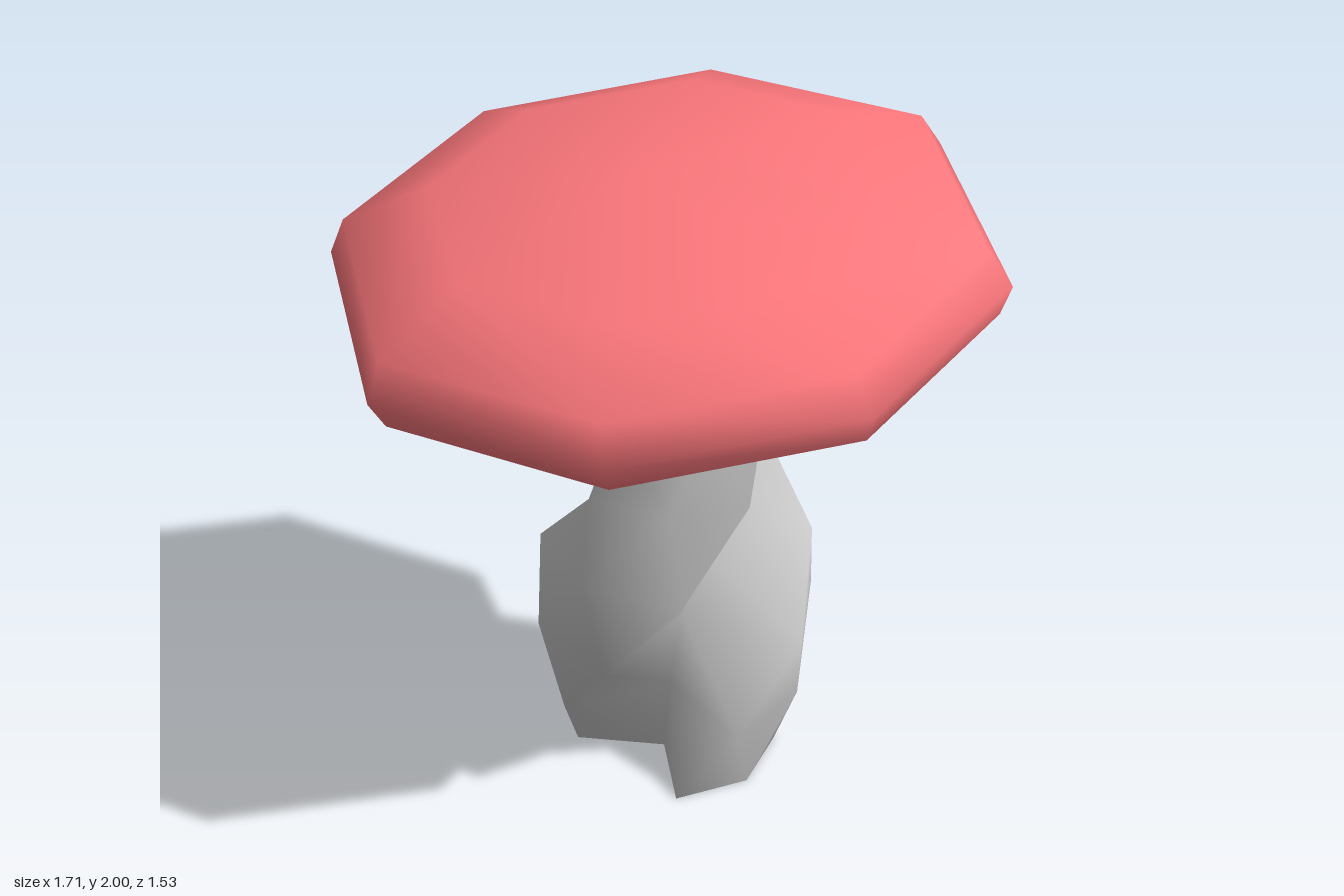
import * as THREE from 'three';
import { mergeVertices } from 'three/addons/utils/BufferGeometryUtils.js';

// Skin a stack of closed rings (each a list of Vector3, counterclockwise from above)
function loft(rings) {
  const n = rings[0].length;
  const index = [];
  for (let r = 0; r < rings.length - 1; r++) {
    for (let i = 0; i < n; i++) {
      const j = (i + 1) % n;
      const a = r * n + i, b = r * n + j, c = b + n, d = a + n;
      index.push(a, b, d, b, c, d);
    }
  }
  const geometry = new THREE.BufferGeometry().setFromPoints(rings.flat());
  geometry.setIndex(index);
  const merged = mergeVertices(geometry);
  merged.computeVertexNormals();
  return merged;
}

// One stem section: two opposite three-point lobes with notches between them.
// turn is the direction of the lobes, spread the angle from lobe middle to lobe end.
function stemRing({ y, r, turn, spread = 45, x = -0.055, z = -0.155, slope = 0 }) {
  const points = [];
  for (const side of [0, 180]) {
    for (const [offset, radius] of [[-spread, r], [0, r], [spread, r], [90, r * 0.17]]) {
      const angle = THREE.MathUtils.degToRad(turn + side + offset);
      const dx = radius * Math.sin(angle), dz = radius * Math.cos(angle);
      points.push(new THREE.Vector3(x + dx, y + slope * dx, z + dz));
    }
  }
  return points;
}

// Half of the cap's outline; the other half is its point reflection
const halfRim = [[-0.4, 0.765], [0.27, 0.705], [0.775, 0.26], [0.855, -0.32]];
const rim = [...halfRim, ...halfRim.map(([x, z]) => [-x, -z])];

// One cap ring at a given scale and height, tilted down to the front
function capRing([scale, h]) {
  return rim.map(([rx, rz]) => {
    const x = rx * scale, z = rz * scale;
    return new THREE.Vector3(x, 1.572 + h - 0.217 * z - 0.022 * x, z + 0.21 * (h - 0.1));
  });
}

export function createModel() {
  const group = new THREE.Group();
  const grey = new THREE.MeshStandardMaterial({ color: 0xcccccc, side: THREE.DoubleSide });
  const red = new THREE.MeshStandardMaterial({ color: 0xfe787d });

  const add = (name, geometry, material) => {
    const mesh = new THREE.Mesh(geometry, material);
    mesh.name = name;
    group.add(mesh);
  };

  // Twisted stem, open at the base
  const levels = [
    { y: 0, r: 0.29, turn: 77.5 },
    { y: 0.245, r: 0.365, turn: 106 },
    { y: 0.49, r: 0.407, turn: 138 },
    { y: 0.735, r: 0.385, turn: 170 },
    { y: 0.97, r: 0.312, turn: 207 },
    { y: 1.27, r: 0.25, turn: 232, spread: 57, x: -0.03, z: -0.125, slope: -0.1 },
    { y: 1.575, r: 0.205, turn: 269, spread: 50, x: 0, z: -0.05, slope: 0.25 },
  ];
  add('stem', loft(levels.map(stemRing)), grey);

  // Faceted cap rising to a low peak, and its flat underside
  const dome = [[0.96, 0], [1, 0.09], [0.94, 0.2], [0.66, 0.32], [0, 0.41]];
  add('cap', loft(dome.map(capRing)), red);
  const underside = [[0, 0], [0.96, 0]];
  add('capUnderside', loft(underside.map(capRing)), grey);

  return group;
}
